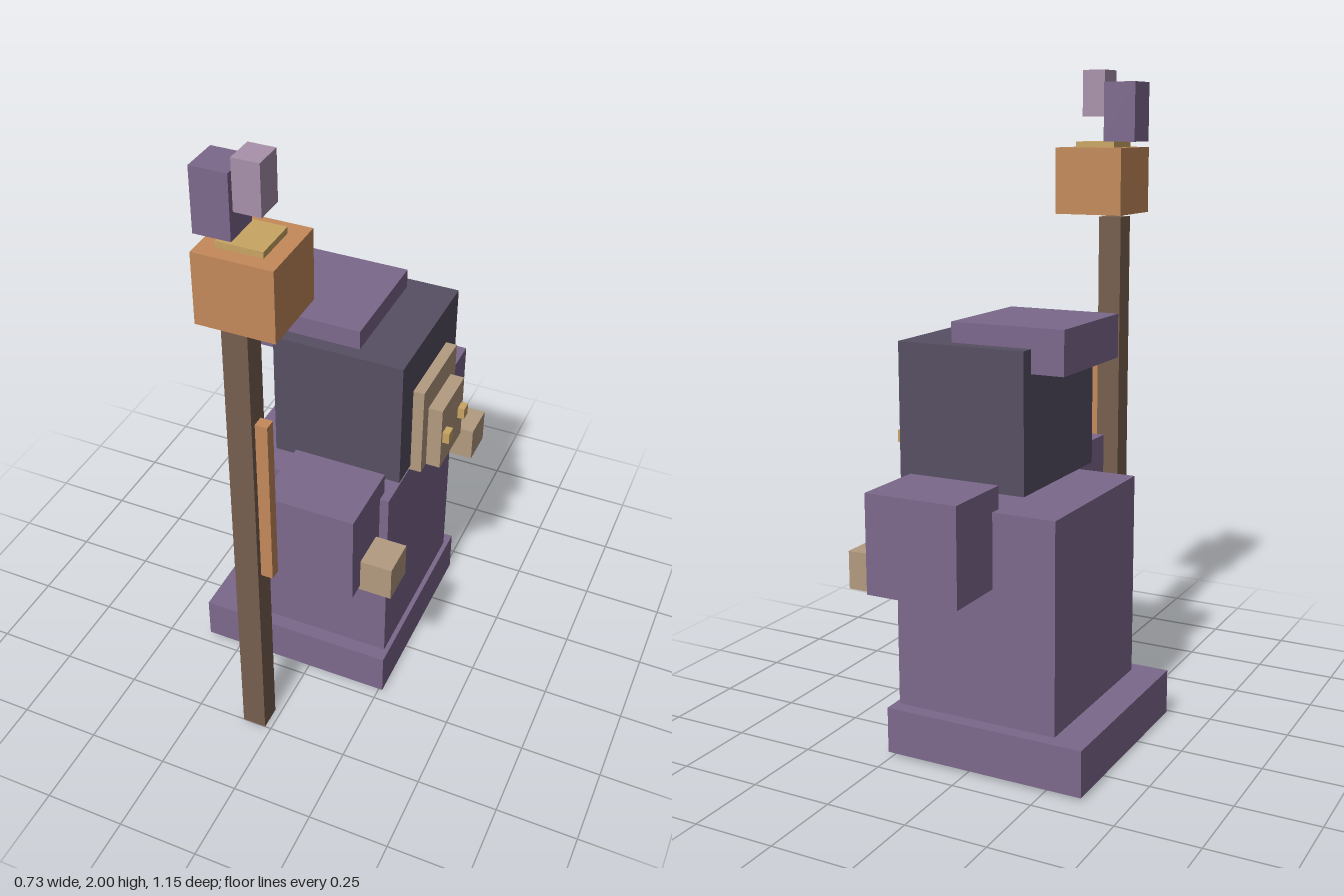
import * as THREE from 'three';

const mat = (name, color) => {
  const m = new THREE.MeshStandardMaterial({ color });
  m.name = name;
  return m;
};

export function createModel() {
  const root = new THREE.Group();
  root.name = 'robedFigure';

  const robe = mat('robe purple', 0x7c688c);
  const hood = mat('hood charcoal', 0x564f63);
  const skin = mat('tan skin', 0xb39b80);
  const copper = mat('copper', 0xc48a5a);
  const wood = mat('dark wood', 0x775f4f);
  const gold = mat('gold', 0xc9a563);
  const lilac = mat('pale lilac', 0xa891ab);

  // Box given by its extents along each axis
  const box = (name, m, [x0, x1], [y0, y1], [z0, z1], parent = root) => {
    const mesh = new THREE.Mesh(new THREE.BoxGeometry(x1 - x0, y1 - y0, z1 - z0), m);
    mesh.position.set((x0 + x1) / 2, (y0 + y1) / 2, (z0 + z1) / 2);
    mesh.name = name;
    parent.add(mesh);
  };

  // Robe
  box('robeHem', robe, [-0.365, 0.265], [0.01, 0.15], [-0.42, 0.218]);
  box('robeBody', robe, [-0.262, 0.25], [0.15, 0.78], [-0.376, 0.173]);

  // Head, looking along +x
  const head = new THREE.Group();
  head.name = 'head';
  root.add(head);
  box('hood', hood, [-0.14, 0.263], [0.82, 1.23], [-0.326, 0.124], head);
  box('hoodTop', robe, [-0.241, 0.113], [1.16, 1.29], [-0.282, 0.081], head);
  box('face', skin, [0.225, 0.297], [0.805, 1.097], [-0.236, 0.036], head);
  box('muzzle', skin, [0.27, 0.341], [0.805, 1.017], [-0.193, -0.007], head);

  // Mirrored parts on both sides of the body's middle plane
  const midZ = -0.1;
  for (const s of [1, -1]) {
    const span = (a, b) => [midZ + s * a, midZ + s * b].sort((p, q) => p - q);
    box('eye', gold, [0.33, 0.362], [0.895, 0.932], span(0.049, 0.083), head);
    box('sleeve', robe, [-0.067, 0.222], [0.556, 0.848], span(0.238, 0.474));
    box('hand', skin, [0.212, 0.32], [0.54, 0.652], span(0.297, 0.416));
  }

  // Staff with its lantern and floating crystals
  const staff = new THREE.Group();
  staff.name = 'staff';
  root.add(staff);
  box('staffPole', wood, [-0.095, -0.02], [0, 1.545], [0.426, 0.5], staff);
  box('staffInlay', copper, [-0.02, 0.017], [0.65, 1.203], [0.446, 0.481], staff);
  box('staffHead', copper, [-0.126, 0.098], [1.555, 1.762], [0.351, 0.574], staff);
  box('staffCap', gold, [-0.08, 0.051], [1.755, 1.78], [0.399, 0.531], staff);
  box('largeCrystal', robe, [-0.146, -0.041], [1.78, 1.963], [0.408, 0.521], staff);
  box('smallCrystal', lilac, [-0.038, 0.038], [1.857, 2], [0.421, 0.509], staff);

  return root;
}
